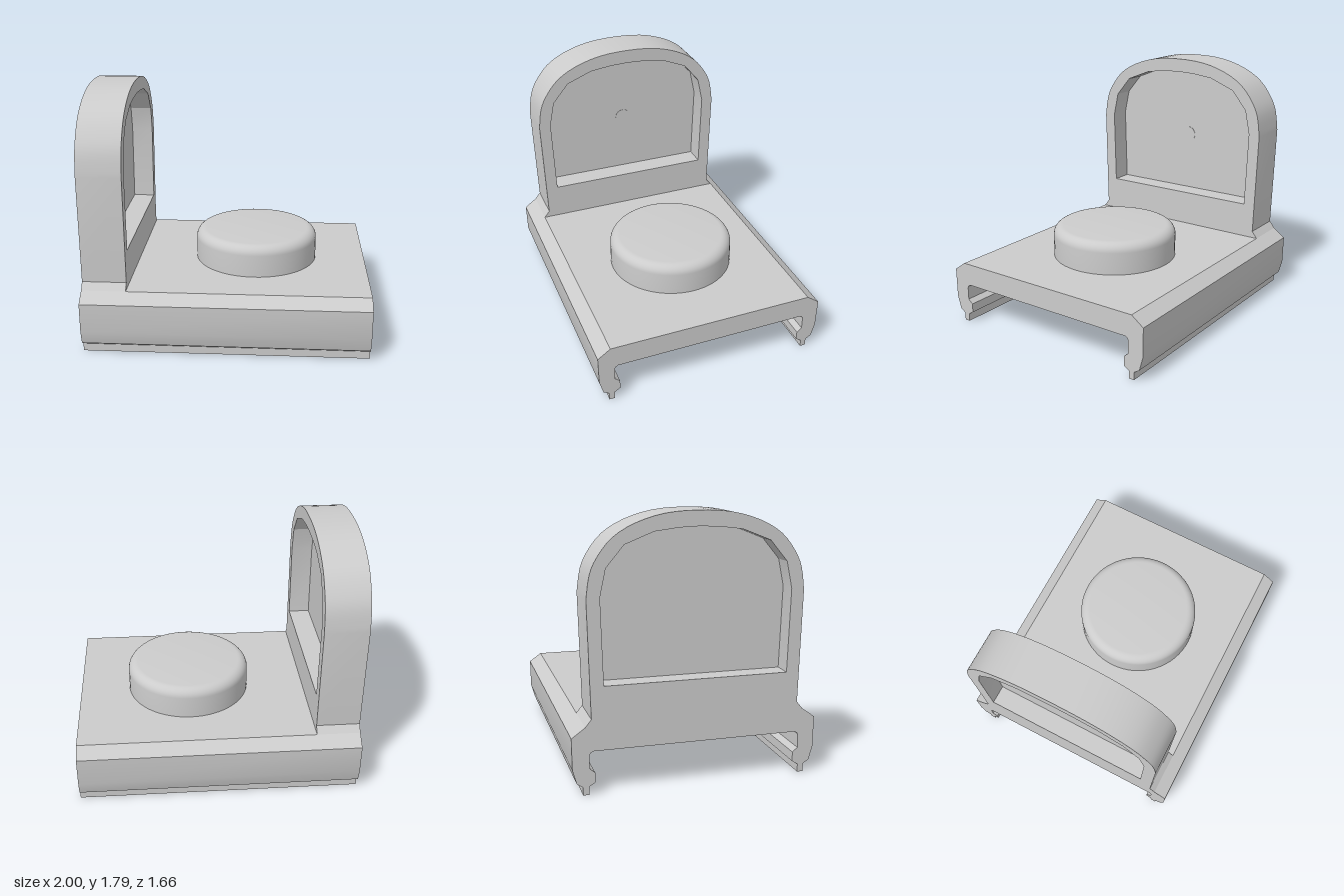
import * as THREE from 'three';
import { toCreasedNormals } from 'three/addons/utils/BufferGeometryUtils.js';

const material = new THREE.MeshStandardMaterial({ color: 0xcccccc });

// Full closed outline from one half, given as [z, y] from one end to the other
const mirrored = (half) => [...half, ...half.slice().reverse().map(([z, y]) => [-z, y])]
  .filter(([z], i) => z !== 0 || i < half.length)
  .map(([z, y]) => new THREE.Vector2(z, y));

// Extrudes a z-y outline along x between two positions
function extrudeX(name, outline, x0, x1, hole) {
  const shape = new THREE.Shape(outline);
  if (hole) shape.holes.push(new THREE.Path(hole));
  let geometry = new THREE.ExtrudeGeometry(shape, { depth: x1 - x0, bevelEnabled: false });
  geometry.rotateY(Math.PI / 2).translate(x0, 0, 0);
  geometry = toCreasedNormals(geometry, 0.4);
  const mesh = new THREE.Mesh(geometry, material);
  mesh.name = name;
  return mesh;
}

export function createModel() {
  const group = new THREE.Group();
  group.name = 'clipOnBase';

  // Channel-shaped base with clip rails along both sides
  const baseHalf = [
    [0.74, 0.45], [0.83, 0.385], [0.827, 0.175], [0.8, 0.08], [0.76, 0.055],
    [0.76, 0], [0.72, 0], [0.72, 0.055], [0.68, 0.08], [0.68, 0.145],
    [0.715, 0.175], [0.715, 0.265], [0.708, 0.28], [0.69, 0.29],
  ];
  group.add(extrudeX('base', mirrored(baseHalf), -1, 1));

  // Upright arch frame, with a flared foot and a smooth crown
  const crown = new THREE.SplineCurve([
    [0.722, 1.26], [0.7, 1.41], [0.65, 1.52], [0.555, 1.635], [0.41, 1.72],
    [0.22, 1.775], [0, 1.79], [-0.22, 1.775], [-0.41, 1.72], [-0.555, 1.635],
    [-0.65, 1.52], [-0.7, 1.41], [-0.722, 1.26],
  ].map(([z, y]) => new THREE.Vector2(z, y))).getPoints(36);
  const foot = [[0.74, 0.45], [0.7, 0.5]].map(([z, y]) => new THREE.Vector2(z, y));
  const archOutline = [
    ...foot, ...crown, ...foot.slice().reverse().map((p) => new THREE.Vector2(-p.x, p.y)),
  ];
  const recess = mirrored([
    [0.617, 0.71], [0.635, 1.27], [0.597, 1.45], [0.48, 1.59], [0.29, 1.665], [0.13, 1.685], [0, 1.69],
  ]);
  group.add(extrudeX('archFrame', archOutline, -1, -0.69, recess));

  // Thin web closing the recess midway
  group.add(extrudeX('archPanel', recess, -0.865, -0.85));

  // Small round mark on the inner side of the web
  const dot = new THREE.Mesh(new THREE.CylinderGeometry(0.06, 0.06, 0.008, 32), material);
  dot.name = 'panelDot';
  dot.rotation.z = Math.PI / 2;
  dot.position.set(-0.851, 1.16, -0.005);
  group.add(dot);

  // Round button with a rounded rim
  const radius = 0.45, top = 0.68, fillet = 0.07;
  const profile = [new THREE.Vector2(radius, 0.44)];
  for (let i = 0; i <= 8; i++) {
    const a = (i / 8) * Math.PI / 2;
    profile.push(new THREE.Vector2(
      radius - fillet + fillet * Math.cos(a), top - fillet + fillet * Math.sin(a)));
  }
  profile.push(new THREE.Vector2(0, top));
  const button = new THREE.Mesh(
    toCreasedNormals(new THREE.LatheGeometry(profile, 64), 0.5), material);
  button.name = 'button';
  button.position.set(0.185, 0, -0.01);
  group.add(button);

  return group;
}
